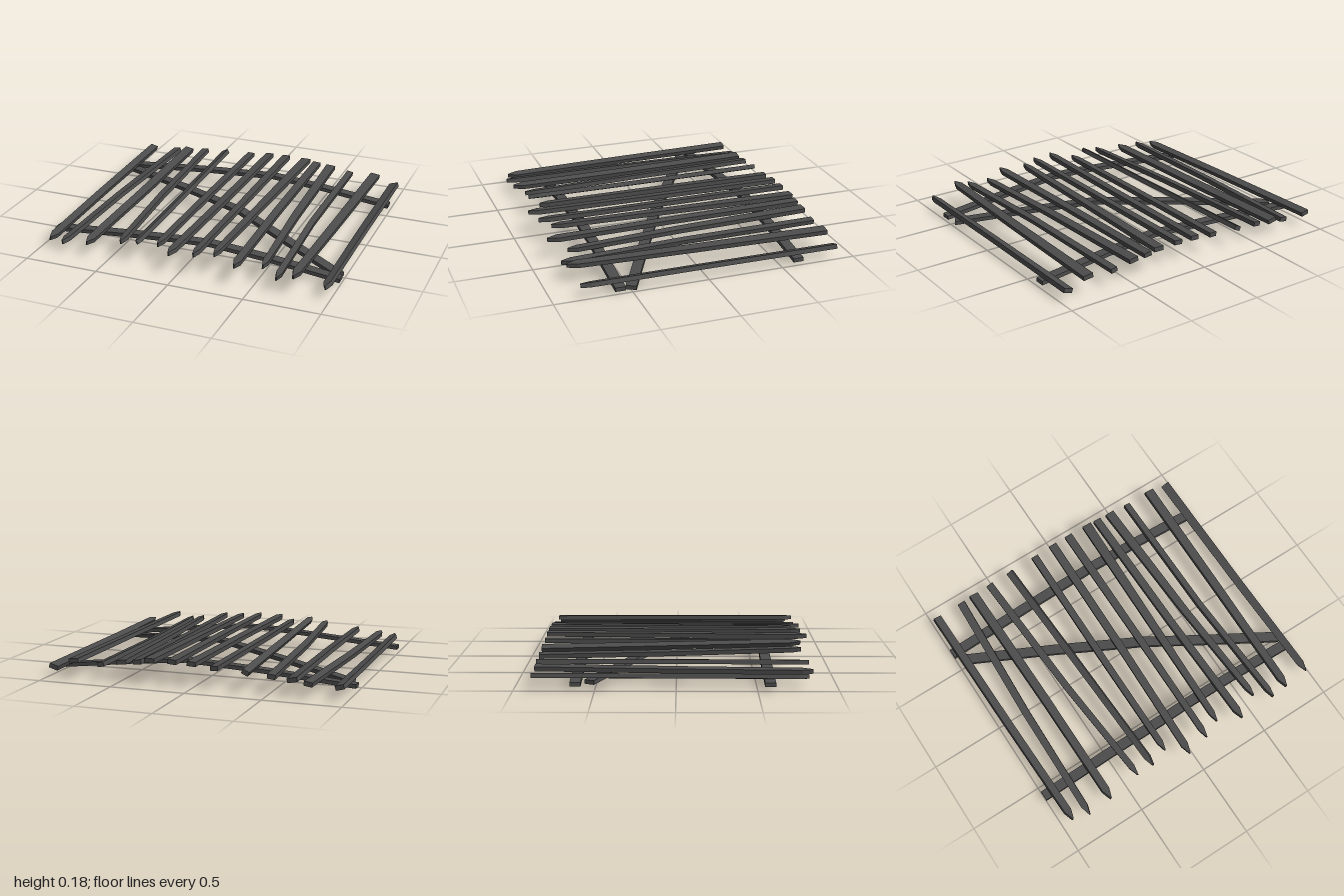
import * as THREE from 'three';

const wood = new THREE.MeshStandardMaterial({ color: 0x4c4c4c, flatShading: true });
wood.name = 'dark grey wood';

// Sweeps a rectangular section through stations { p: [x, y, z], w, t, roll }.
function plank(name, stations) {
  const first = new THREE.Vector3(...stations[0].p);
  const last = new THREE.Vector3(...stations[stations.length - 1].p);
  const dir = last.sub(first).setY(0).normalize();
  const side = new THREE.Vector3(0, 1, 0).cross(dir);
  const up = new THREE.Vector3(0, 1, 0);
  const pos = [], idx = [];
  for (const { p, w, t, roll = 0 } of stations) {
    const c = Math.cos(roll), s = Math.sin(roll);
    for (const [a, b] of [[-1, -1], [1, -1], [1, 1], [-1, 1]]) {
      const u = a * w / 2, v = b * t / 2;
      const q = new THREE.Vector3(...p)
        .addScaledVector(side, u * c - v * s)
        .addScaledVector(up, u * s + v * c);
      pos.push(q.x, q.y, q.z);
    }
  }
  for (let i = 0; i < stations.length - 1; i++) {
    for (let k = 0; k < 4; k++) {
      const a = i * 4 + k, b = i * 4 + (k + 1) % 4;
      idx.push(a, b, b + 4, a, b + 4, a + 4);
    }
  }
  const e = (stations.length - 1) * 4;
  idx.push(0, 2, 1, 0, 3, 2, e, e + 1, e + 2, e, e + 2, e + 3);
  const g = new THREE.BufferGeometry();
  g.setAttribute('position', new THREE.Float32BufferAttribute(pos, 3));
  g.setIndex(idx);
  const flat = g.toNonIndexed();
  flat.computeVertexNormals();
  const mesh = new THREE.Mesh(flat, wood);
  mesh.name = name;
  return mesh;
}

// Pickets: x at back, middle and front, tip z, back width, front width, y at back and front, roll
const pickets = [
  [-0.957, -0.942, -0.925, 0.82, 0.055, 0.05, 0.09, 0.078, -0.25],
  [-0.76, -0.80, -0.813, 0.855, 0.055, 0.045, 0.095, 0.085, 0.15],
  [-0.66, -0.645, -0.642, 0.845, 0.065, 0.052, 0.112, 0.105, -0.2],
  [-0.527, -0.477, -0.415, 0.815, 0.052, 0.042, 0.122, 0.14, 0.12],
  [-0.36, -0.323, -0.295, 0.82, 0.048, 0.042, 0.135, 0.16, 0.45],
  [-0.155, -0.165, -0.167, 0.775, 0.05, 0.042, 0.145, 0.145, 0],
  [-0.005, -0.02, -0.042, 0.885, 0.058, 0.05, 0.162, 0.155, 0.06],
  [0.125, 0.12, 0.113, 0.855, 0.058, 0.042, 0.165, 0.16, 0.08],
  [0.278, 0.252, 0.233, 0.80, 0.068, 0.042, 0.162, 0.16, 0],
  [0.363, 0.372, 0.39, 0.87, 0.056, 0.05, 0.147, 0.142, -0.1],
  [0.47, 0.503, 0.545, 0.78, 0.066, 0.04, 0.138, 0.126, -0.1],
  [0.617, 0.622, 0.66, 0.855, 0.045, 0.04, 0.112, 0.102, -0.18],
  [0.807, 0.79, 0.772, 0.85, 0.068, 0.052, 0.122, 0.132, -0.12],
  [0.952, 0.955, 0.965, 0.82, 0.062, 0.05, 0.072, 0.08, 0.3],
];

// Cross members: x, y, z along each path
const rails = {
  frontRail: [[-1, 0.043, 0.577], [-0.4, 0.092, 0.577], [-0.08, 0.115, 0.583], [0.13, 0.122, 0.58], [0.5, 0.088, 0.576], [0.995, 0.03, 0.577]],
  backRail: [[-1, 0.043, -0.618], [-0.4, 0.092, -0.618], [0.13, 0.122, -0.616], [0.5, 0.088, -0.618], [0.985, 0.03, -0.618]],
  diagonalBrace: [[-0.945, 0.045, -0.535], [-0.4, 0.09, -0.245], [0.13, 0.12, 0.045], [0.5, 0.076, 0.25], [0.967, 0.014, 0.5]],
};

export function createModel() {
  const model = new THREE.Group();
  model.name = 'fencePanel';

  pickets.forEach(([xb, xm, xf, tip, wb, wf, yb, yf, roll], i) => {
    const t = 0.03;
    const shoulder = tip - 0.065;
    model.add(plank(`picket${i + 1}`, [
      { p: [xb, yb, -0.89], w: wb, t, roll },
      { p: [xm, (yb + yf) / 2, 0.03], w: (wb + wf) / 2, t, roll },
      { p: [xf, yf, shoulder], w: wf, t, roll },
      { p: [xf + (xf - xm) * 0.07, yf, tip], w: 0.008, t: t * 0.9, roll },
    ]));
  });

  for (const [name, path] of Object.entries(rails)) {
    model.add(plank(name, path.map((p) => ({ p, w: 0.068, t: 0.026 }))));
  }
  return model;
}
